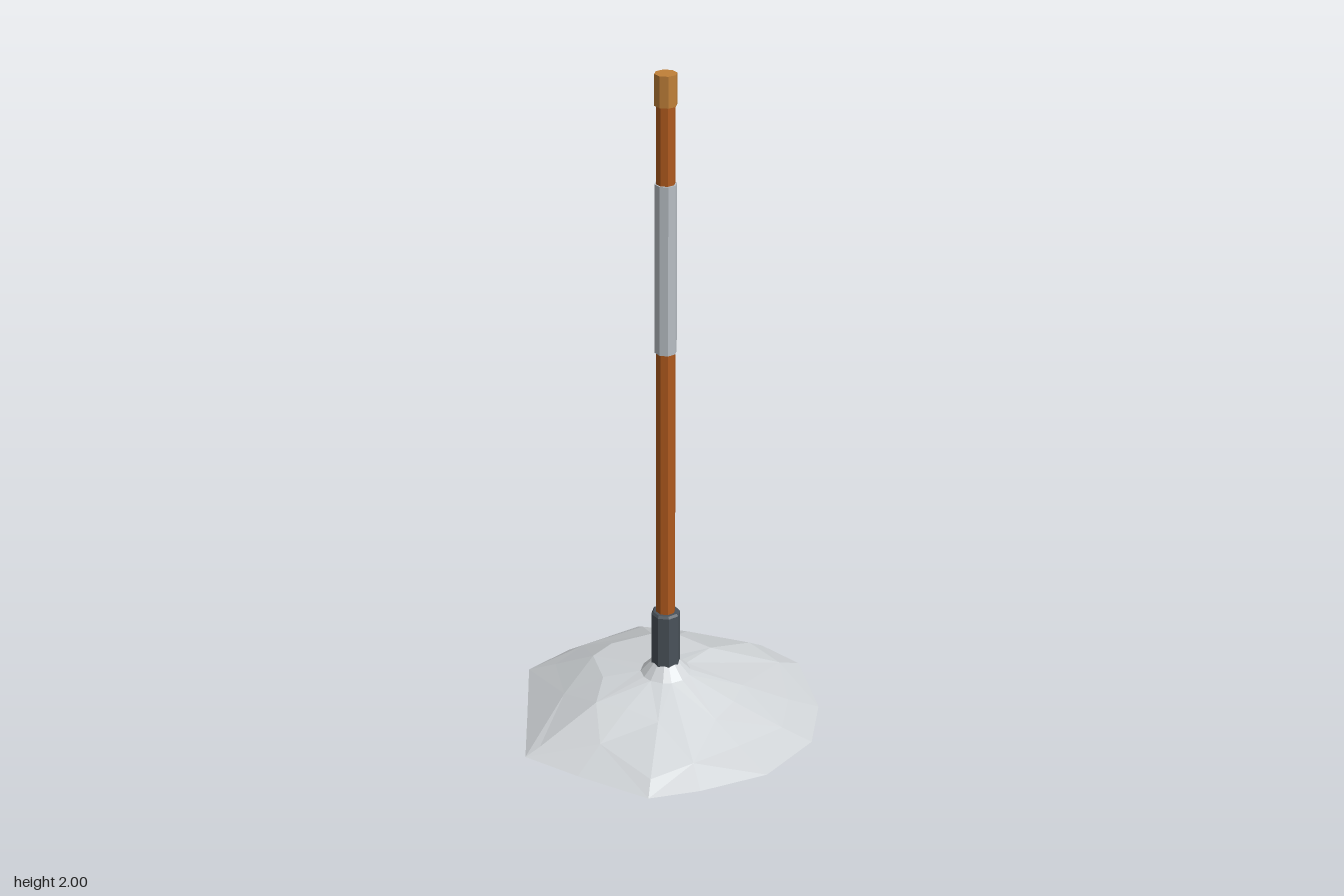
import * as THREE from 'three';

// Mound spokes: rim x, rim z, then scale and height of the outer and the middle ring
const SPOKES = [
  [-0.17, -0.455, 0.82, 0.055, 0.48, 0.13],
  [0, -0.452, 0.82, 0.055, 0.5, 0.13],
  [0.235, -0.412, 0.86, 0.045, 0.45, 0.12],
  [0.36, -0.33, 0.85, 0.03, 0.42, 0.1],
  [0.45, -0.1, 0.8, 0.03, 0.5, 0.085],
  [0.452, 0.09, 0.8, 0.03, 0.47, 0.085],
  [0.345, 0.278, 0.73, 0.04, 0.5, 0.08],
  [0.17, 0.39, 0.8, 0.04, 0.5, 0.09],
  [0.03, 0.452, 0.88, 0.03, 0.45, 0.095],
  [-0.19, 0.38, 0.75, 0.055, 0.45, 0.11],
  [-0.36, 0.312, 0.9, 0.02, 0.5, 0.11],
  [-0.405, 0.09, 0.73, 0.07, 0.45, 0.125],
  [-0.455, -0.15, 0.8, 0.05, 0.52, 0.12],
  [-0.355, -0.285, 0.85, 0.05, 0.55, 0.12],
];

function material(color) {
  return new THREE.MeshStandardMaterial({ color, flatShading: true });
}

// Irregular faceted mound, lofted ring by ring from the rim to the neck
function moundGeometry() {
  const n = SPOKES.length;
  const positions = [];
  const index = [];
  const ringPoint = [
    ([x, z]) => [x, 0.002, z],
    ([x, z, s, h]) => [x * s, h, z * s],
    ([x, z, , , s, h]) => [x * s, h, z * s],
    ([x, z]) => [x * 0.075 / Math.hypot(x, z), 0.145, z * 0.075 / Math.hypot(x, z)],
    ([x, z]) => [x * 0.038 / Math.hypot(x, z), 0.185, z * 0.038 / Math.hypot(x, z)],
  ];
  for (const point of ringPoint) {
    for (const spoke of SPOKES) positions.push(...point(spoke));
  }
  const centre = positions.length / 3;
  positions.push(0, 0.002, 0);
  for (let i = 0; i < n; i++) {
    const j = (i + 1) % n;
    index.push(centre, i, j); // underside
    for (let r = 0; r < ringPoint.length - 1; r++) {
      const a = r * n + i, b = r * n + j, c = a + n, d = b + n;
      // alternate the diagonals for a rougher surface
      if ((i + r) % 2) index.push(a, c, b, b, c, d);
      else index.push(a, d, b, a, c, d);
    }
  }
  const geometry = new THREE.BufferGeometry();
  geometry.setAttribute('position', new THREE.Float32BufferAttribute(positions, 3));
  geometry.setIndex(index);
  geometry.computeVertexNormals();
  return geometry;
}

export function createModel() {
  const group = new THREE.Group();

  function add(name, geometry, color) {
    const mesh = new THREE.Mesh(geometry, material(color));
    mesh.name = name;
    group.add(mesh);
    return mesh;
  }

  // Eight-sided post section between two heights; radii are to the flats
  function section(name, y0, y1, rBottom, rTop, color) {
    const k = 1 / Math.cos(Math.PI / 8);
    const geometry = new THREE.CylinderGeometry(rTop * k, rBottom * k, y1 - y0, 8);
    geometry.rotateY(Math.PI / 8);
    geometry.translate(0, (y0 + y1) / 2, 0);
    return add(name, geometry, color);
  }

  add('mound', moundGeometry(), 0xd0d4d7);

  // Square foot buried under the mound
  const foot = add('foot', new THREE.BoxGeometry(0.22, 0.07, 0.22), 0x4a525a);
  foot.position.y = 0.035;

  section('collar', 0.17, 0.345, 0.04, 0.04, 0x4a525a);
  section('collarRim', 0.345, 0.352, 0.04, 0.035, 0x4a525a);
  section('pole', 0.06, 1.92, 0.027, 0.024, 0xb05a1e);
  section('sleeve', 1.19, 1.69, 0.029, 0.029, 0xb8bec4);
  section('cap', 1.912, 2, 0.029, 0.029, 0xc08038);

  return group;
}
